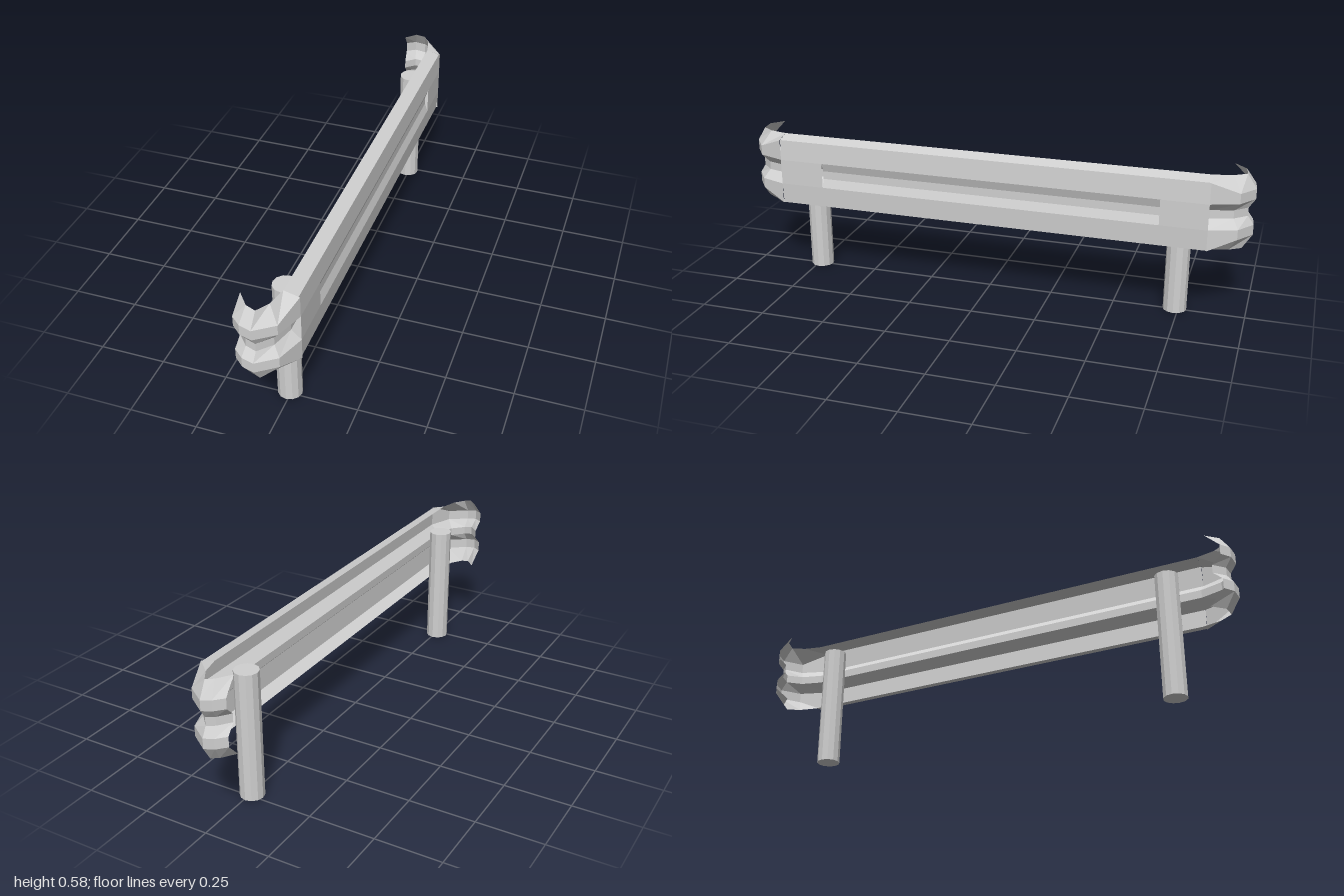
import * as THREE from 'three';

const steel = new THREE.MeshStandardMaterial({
  name: 'galvanised grey', color: 0xd0d0d0, flatShading: true, side: THREE.DoubleSide,
});

// Sheet joining cross-sections; each row lists [x, y, z] points from top to bottom
function sheet(name, rows) {
  const n = rows[0].length;
  const index = [];
  for (let i = 0; i < rows.length - 1; i++) {
    for (let j = 0; j < n - 1; j++) {
      const a = i * n + j, b = a + 1, d = a + n, c = d + 1;
      index.push(a, d, c, a, c, b);
    }
  }
  let g = new THREE.BufferGeometry();
  g.setAttribute('position', new THREE.Float32BufferAttribute(rows.flat(2), 3));
  g.setIndex(index);
  g = g.toNonIndexed();
  g.computeVertexNormals();
  const mesh = new THREE.Mesh(g, steel);
  mesh.name = name;
  return mesh;
}

const MID = 0.421;
const BEND = 0.847, GROOVE = 0.67;
// Heights at the rail joint and around the bend, mirrored about the middle
const mirrorY = (half) => [...half.map((h) => MID + h), ...half.map((h) => MID - h).reverse()];
const railY = mirrorY([0.145, 0.131, 0.05, 0.016]);
const bendY = mirrorY([0.145, 0.089, 0.05, 0.016]);
const railX = [0.035, 0.086, 0.091, 0.055, 0.055, 0.091, 0.086, 0.035];
const depth = [0, 1, 1, 0.36, 0.36, 1, 1, 0];
const plateX = [0.091, 0.079, 0.079, 0.091];

// Bend stations: inner x, z, outer x, z, lift
const stations = [
  [0.035, 0.847, 0.091, 0.847, 0],
  [0.018, 0.918, 0.054, 0.95, 0],
  [-0.012, 0.964, -0.016, 1.0, 0],
  [-0.046, 0.957, -0.058, 0.994, 0.008],
  [-0.085, 0.91, -0.092, 0.965, 0.011],
];

export function createModel() {
  const model = new THREE.Group();
  model.name = 'guardrail';

  // Long corrugated beam, with a shallow-grooved plate across its central channel
  model.add(sheet('beam', [-BEND, BEND].map((z) => railX.map((x, j) => [x, railY[j], z]))));
  model.add(sheet('groovedPlate', [-GROOVE, GROOVE].map((z) =>
    plateX.map((x, k) => [x, railY[k + 2], z]))));

  for (const s of [1, -1]) {
    const end = new THREE.Group();
    end.name = s > 0 ? 'frontEnd' : 'backEnd';
    const order = (rows) => (s > 0 ? rows : rows.reverse());

    // Curled, corrugated end
    end.add(sheet('curledEnd', order(stations.map(([ix, iz, ox, oz, lift], i) =>
      depth.map((t, j) => [
        ix + (ox - ix) * t,
        (i === 0 ? railY : bendY)[j] + lift,
        s * (iz + (oz - iz) * t),
      ])))));

    // Flat plate covering the channel near the end
    end.add(sheet('flatPlate', order([GROOVE, BEND].map((z) =>
      [2, 5].map((j) => [0.091, railY[j], s * z])))));

    // Round post
    const post = new THREE.Mesh(new THREE.CylinderGeometry(0.045, 0.045, 0.493, 12), steel);
    post.name = 'post';
    post.position.set(-0.006, 0.2465, s * 0.736);
    end.add(post);

    model.add(end);
  }
  return model;
}
